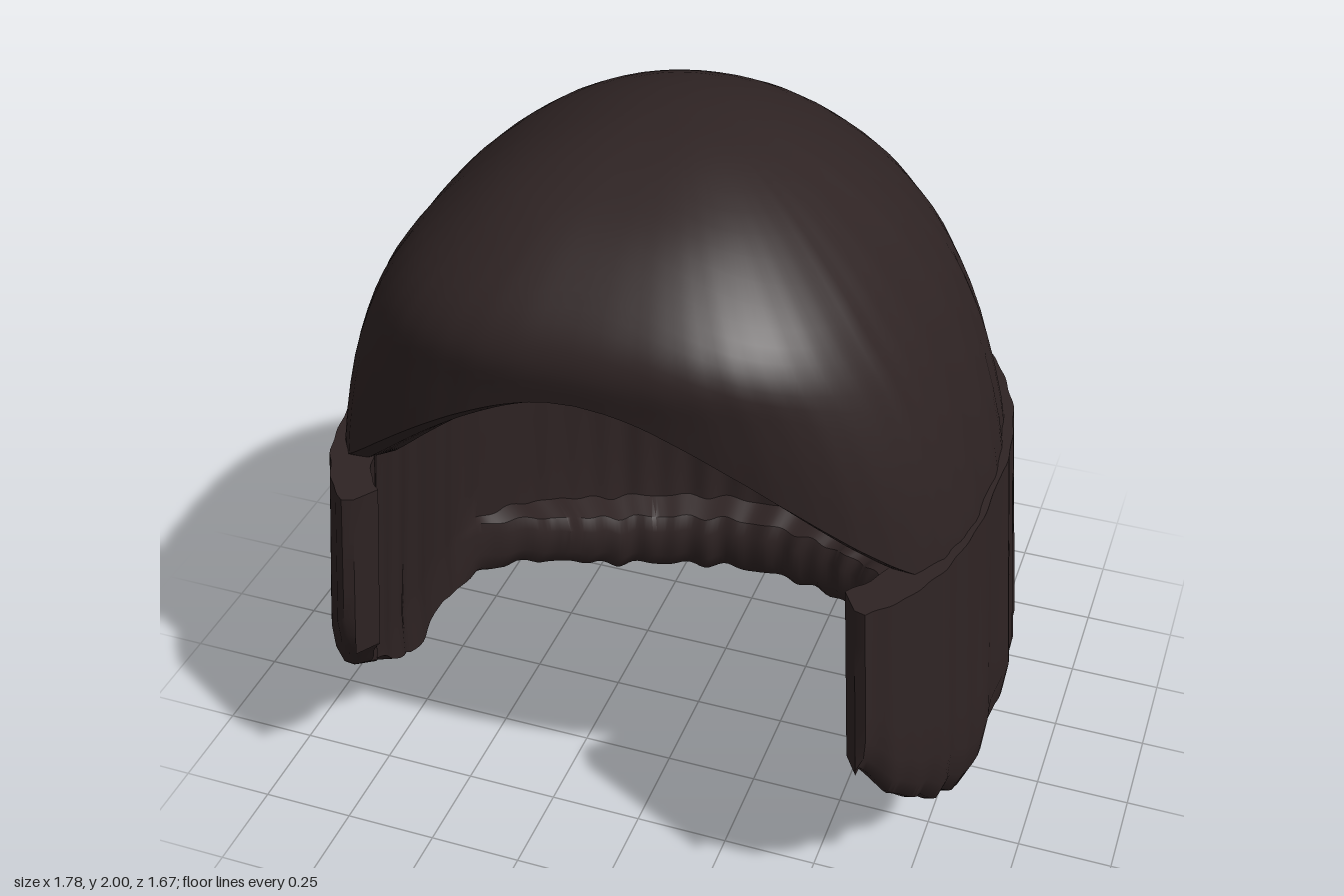
import * as THREE from 'three';
import { toCreasedNormals } from 'three/addons/utils/BufferGeometryUtils.js';

const darkBrown = new THREE.MeshStandardMaterial({ color: 0x2e2323 });
darkBrown.name = 'dark brown hair';

// Surface through rows x cols points given by a rule
function gridMesh(name, rows, cols, rule) {
  const pos = [], index = [];
  for (let i = 0; i < rows; i++)
    for (let j = 0; j < cols; j++) pos.push(...rule(i, j));
  for (let i = 0; i < rows - 1; i++)
    for (let j = 0; j < cols - 1; j++) {
      const a = i * cols + j, b = a + cols;
      index.push(a, b, a + 1, b, b + 1, a + 1);
    }
  const geo = new THREE.BufferGeometry();
  geo.setAttribute('position', new THREE.Float32BufferAttribute(pos, 3));
  geo.setIndex(index);
  const mesh = new THREE.Mesh(toCreasedNormals(geo, 0.8), darkBrown);
  mesh.name = name;
  return mesh;
}

// Rounded outline: boxier in front, round at the back; a = 0 faces front
function outline(a) {
  const s = Math.sin(a), c = Math.cos(a), e = c > 0 ? 2 / 3 : 2 / 2.1;
  return [Math.sign(s) * Math.abs(s) ** e, Math.sign(c) * Math.abs(c) ** e];
}

function lerpTable(table, x) {
  if (x <= table[0][0]) return table[0][1];
  for (let i = 1; i < table.length; i++) {
    const [x0, y0] = table[i - 1], [x1, y1] = table[i];
    if (x <= x1) return y0 + (y1 - y0) * (x - x0) / (x1 - x0);
  }
  return table[table.length - 1][1];
}

// Small uneven waves that suggest strands
const strands = a => Math.sin(44 * a) * 0.6 + Math.sin(27 * a + 1) * 0.4;

// Crown: a domed shell with an arched opening over the face
function makeCrown() {
  // height, half width, front z, back z
  const levels = [
    [2, 0, 0.17, 0.17], [1.988, 0.12, 0.31, 0.03], [1.95, 0.25, 0.46, -0.11],
    [1.88, 0.385, 0.63, -0.255], [1.77, 0.52, 0.775, -0.4], [1.67, 0.605, 0.835, -0.49],
    [1.55, 0.68, 0.825, -0.57], [1.35, 0.76, 0.8, -0.665], [1.1, 0.82, 0.77, -0.745],
    [0.95, 0.825, 0.75, -0.755],
  ];
  const curve = k => new THREE.CatmullRomCurve3(
    levels.map(l => new THREE.Vector3(l[1], l[0], l[k])), false, 'catmullrom', 0.5);
  const front = curve(2), back = curve(3);
  const paramAt = y => {
    let lo = 0, hi = 1;
    for (let i = 0; i < 24; i++) {
      const m = (lo + hi) / 2;
      if (front.getPoint(m).y > y) lo = m; else hi = m;
    }
    return lo;
  };
  const cols = 193, half = 24;
  const ends = Array.from({ length: cols }, (_, j) => {
    const a = j / (cols - 1) * Math.PI * 2, [s] = outline(a);
    return paramAt(Math.cos(a) > 0 ? 1.575 - 0.6 * s * s : 0.975);
  });
  return gridMesh('crown', half * 2 + 3, cols, (i, j) => {
    const a = j / (cols - 1) * Math.PI * 2, [s, c] = outline(a);
    const inner = i > half + 1, rim = i === half + 1;
    const t = rim ? 1 : (inner ? half * 2 + 2 - i : i) / half;
    const u = t * ends[j];
    const f = front.getPoint(u), b = back.getPoint(u);
    const wave = 1 + 0.006 * strands(a) * u * (Math.cos(a) > 0.4 ? 0.3 : 1);
    const k = wave * (inner ? 0.86 : rim ? 0.95 : 1);
    const y = inner ? 0.95 + (f.y - 0.95) * 0.95 : rim ? f.y - 0.02 : f.y;
    const z = 0.17 + (c > 0 ? (f.z - 0.17) * c : (0.17 - b.z) * c);
    return [f.x * s * k, y, 0.1 + (z - 0.1) * k];
  });
}

// Curtain: the thick band round the sides and back, open at the face
function makeCurtain() {
  // z, height of the lower edge
  const hem = [[-0.75, 0], [-0.6, 0.035], [-0.45, 0.11], [-0.3, 0.17], [-0.1, 0.215], [0.1, 0.235],
    [0.35, 0.225], [0.45, 0.285], [0.6, 0.4], [0.7, 0.495], [0.77, 0.62]];
  // inset, share of the height; at the back the hem rolls inwards as a lip
  const section = [[0, 1], [0, 0.8], [0, 0.6], [0, 0.4], [0, 0.24], [0.015, 0.12], [0.045, 0.03],
    [0.08, 0], [0.16, 0], [0.23, 0.02], [0.27, 0.08], [0.28, 0.17], [0.26, 0.21],
    [0.18, 0.23], [0.17, 0.36], [0.17, 0.55], [0.16, 0.8], [0.14, 1], [0, 1]];
  const cols = 223, start = 0.78;
  return gridMesh('curtain', section.length, cols, (i, j) => {
    // the first and last columns close the ends to a line
    const closed = j === 0 || j === cols - 1;
    const t = THREE.MathUtils.clamp((j - 1) / (cols - 3), 0, 1);
    const a = start + t * (Math.PI * 2 - start * 2);
    const [s, c] = outline(a);
    let [inset, share] = section[i];
    const lip = THREE.MathUtils.smoothstep(-c, 0.1, 0.6);
    inset = THREE.MathUtils.lerp(Math.min(inset, 0.14), inset, lip);
    inset *= 1 - 0.4 * THREE.MathUtils.smoothstep(c, 0.3, 0.8);
    if (closed) inset = 0.035;
    const low = lerpTable(hem, 0.1 + (c > 0 ? 0.84 : 0.9) * c)
      + 0.007 * (1 + Math.sin(31 * a)) * (c < 0.6 ? 1 : 0);
    const y = low + (1.1 - low) * share;
    const flare = Math.min(1, (1.1 - y) / 0.7);
    const rx = 0.835 + 0.055 * flare;
    const rz = c > 0 ? 0.815 + 0.045 * flare : 0.868 + 0.06 * flare;
    const ripple = 0.008 * strands(a) * (0.4 + 0.6 * flare);
    const k = ripple - inset;
    return [(rx + k) * s, y, 0.1 + (rz + k) * c + (closed ? 0.02 : 0)];
  });
}

export function createModel() {
  const hair = new THREE.Group();
  hair.name = 'bobbed hair';
  hair.add(makeCrown(), makeCurtain());
  return hair;
}
